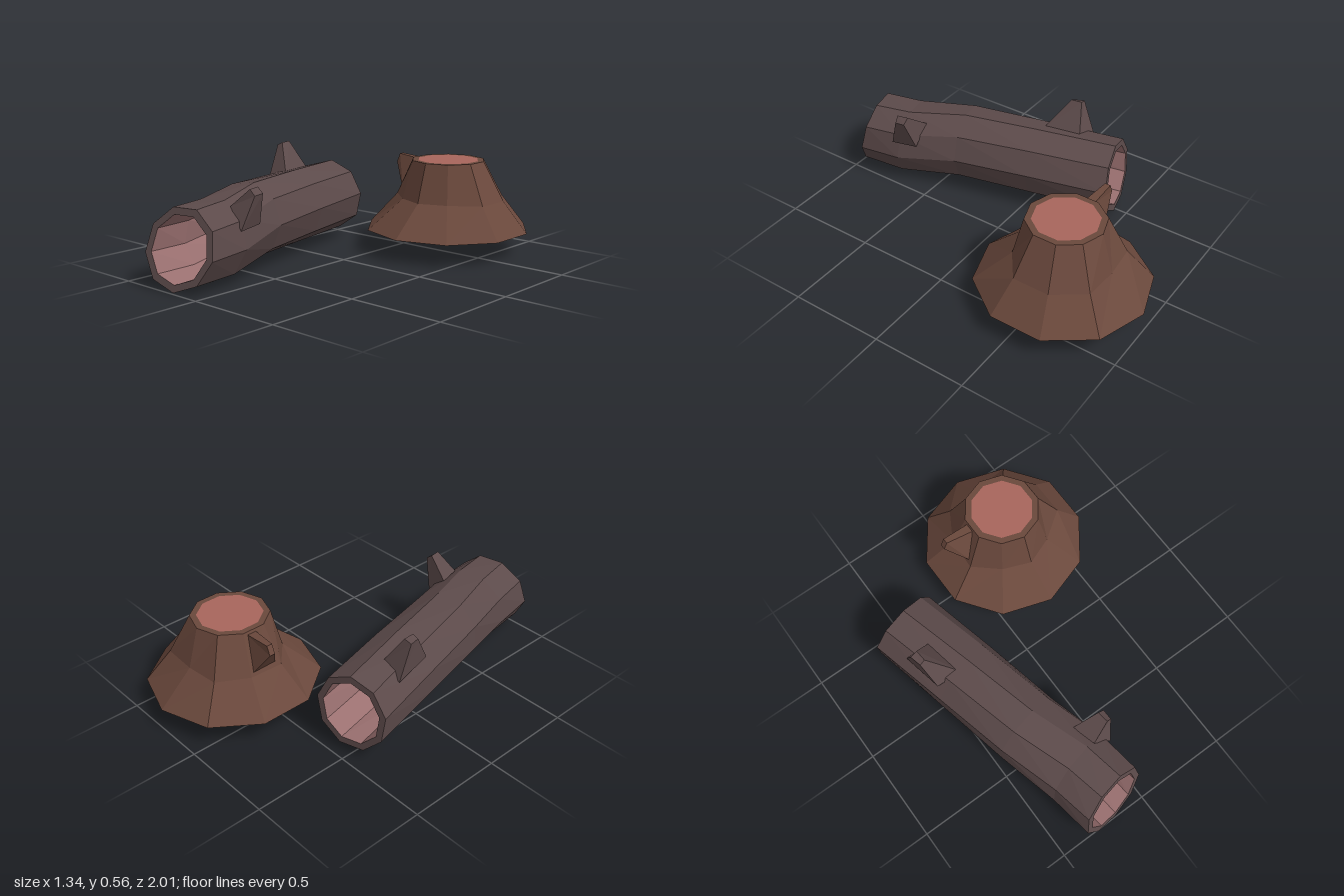
import * as THREE from 'three';

const V = (x, y, z) => new THREE.Vector3(x, y, z);

// Skin closed rings of points, one after another
function loft(rings) {
  const pos = [];
  const put = (...pts) => pts.forEach((p) => pos.push(p.x, p.y, p.z));
  for (let i = 0; i < rings.length - 1; i++) {
    const n = rings[i].length;
    for (let j = 0; j < n; j++) {
      const k = (j + 1) % n;
      const a = rings[i][j], b = rings[i][k], c = rings[i + 1][k], d = rings[i + 1][j];
      put(a, b, c, a, c, d);
    }
  }
  const g = new THREE.BufferGeometry();
  g.setAttribute('position', new THREE.Float32BufferAttribute(pos, 3));
  g.computeVertexNormals();
  return g;
}

// Collapse a ring to its centre, to close an end
function closed(ring) {
  const c = ring.reduce((s, p) => s.add(p), V(0, 0, 0)).divideScalar(ring.length);
  return ring.map(() => c);
}

const material = (color) => new THREE.MeshStandardMaterial({ color, flatShading: true });

function part(name, geometry, mat) {
  const m = new THREE.Mesh(geometry, mat);
  m.name = name;
  return m;
}

// Broken branch: a four-sided taper with a flat tip
function spur(name, base, tip, mat) {
  const b = base.map((p) => V(...p)), t = tip.map((p) => V(...p));
  return part(name, loft([b, t, closed(t)]), mat);
}

export function createModel() {
  const model = new THREE.Group();
  const logBark = material(0x5c4a4a), logWood = material(0x9a7070);
  const stumpBark = material(0x6a483c), stumpWood = material(0xa8655c);

  // Hollow log: x, y, z, radius, tilt, twist in degrees
  const sections = [
    [-0.485, 0.23, -0.43, 0.198, -0.08, 15],
    [-0.385, 0.235, 0.0, 0.2, 0, 12],
    [-0.295, 0.235, 0.4, 0.2, 0, 8],
    [-0.2, 0.203, 0.72, 0.205, 0.1, 3],
    [-0.167, 0.202, 0.95, 0.2, 0.22, 0],
  ];
  const yaw = 0.21, logSides = 9;
  const logRings = (scale) => sections.map(([x, y, z, r, tilt, twist]) =>
    Array.from({ length: logSides }, (_, j) => {
      const a = THREE.MathUtils.degToRad(-90 + twist + (j * 360) / logSides);
      const u = Math.cos(a) * r * scale, v = Math.sin(a) * r * scale;
      return V(x + u * Math.cos(yaw), y + v, z - u * Math.sin(yaw) - v * tilt);
    }));
  const outer = logRings(1), inner = logRings(0.82);
  const log = new THREE.Group();
  log.name = 'hollowLog';
  log.add(
    part('logBark', loft([inner[0], ...outer, inner[inner.length - 1]]), logBark),
    part('logHollow', loft([...inner].reverse()), logWood),
    spur('logTopBranch',
      [[-0.55, 0.38, 0.0], [-0.41, 0.39, 0.01], [-0.45, 0.39, -0.21], [-0.59, 0.36, -0.22]],
      [[-0.575, 0.54, -0.09], [-0.545, 0.555, -0.095], [-0.55, 0.557, -0.155], [-0.59, 0.545, -0.15]],
      logBark),
    spur('logSideBranch',
      [[-0.135, 0.375, 0.565], [-0.1, 0.375, 0.69], [-0.005, 0.27, 0.71], [-0.03, 0.28, 0.565]],
      [[-0.01, 0.468, 0.595], [0.0, 0.465, 0.655], [0.028, 0.435, 0.65], [0.025, 0.44, 0.595]],
      logBark),
  );

  // Stump: ten sides, with uneven roots around the middle ring
  const middle = [0.26, 0.25, 0.31, 0.31, 0.31, 0.26, 0.3, 0.28, 0.29, 0.25];
  const stumpRing = (y, radius) => middle.map((m, j) => {
    const a = (j * Math.PI * 2) / middle.length, r = radius ?? m;
    return V(0.25 + r * Math.sin(a), y, -0.56 + r * Math.cos(a));
  });
  const foot = stumpRing(0.12, 0.442), cut = stumpRing(0.49, 0.165);
  const stump = new THREE.Group();
  stump.name = 'stump';
  stump.add(
    part('stumpBark', loft([closed(foot), foot, stumpRing(0.285), stumpRing(0.49, 0.198), cut]), stumpBark),
    part('stumpCut', loft([cut, closed(cut)]), stumpWood),
    spur('stumpBranch',
      [[0.07, 0.475, -0.55], [0.07, 0.475, -0.6], [0.0, 0.29, -0.63], [0.0, 0.29, -0.49]],
      [[-0.09, 0.487, -0.57], [-0.09, 0.487, -0.6], [-0.11, 0.44, -0.6], [-0.11, 0.44, -0.57]],
      stumpBark),
  );

  model.add(log, stump);
  return model;
}
